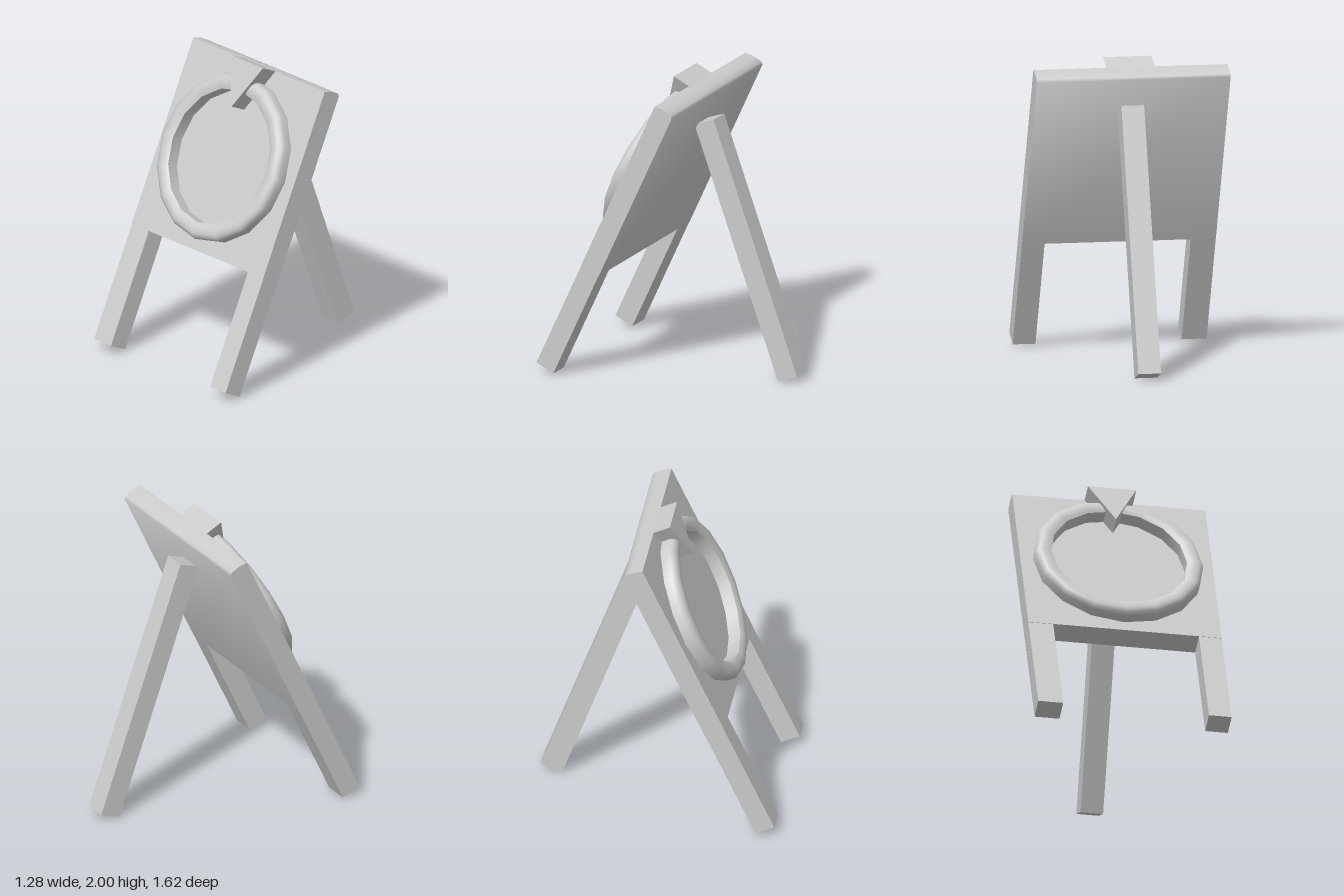
import * as THREE from 'three';
import { toCreasedNormals } from 'three/addons/utils/BufferGeometryUtils.js';

const TILT = 0.433;

export function createModel() {
  const model = new THREE.Group();
  const material = new THREE.MeshStandardMaterial({ color: 0xcccccc });

  const add = (parent, name, geometry) => {
    const mesh = new THREE.Mesh(geometry, material);
    mesh.name = name;
    parent.add(mesh);
    return mesh;
  };
  const shapeOf = (points) => new THREE.Shape(points.map(([x, y]) => new THREE.Vector2(x, y)));

  // Leaning front frame: its local origin is the lower front edge of the legs
  const frame = new THREE.Group();
  frame.name = 'leaningFrame';
  frame.position.set(0, 0.075, 0.81);
  frame.rotation.x = -TILT;
  model.add(frame);

  // Board: side profile (z, y) with a softly rounded top, swept across the width
  const profile = shapeOf([
    [0, 0.788], [0, 2.065], [-0.04, 2.074], [-0.08, 2.078],
    [-0.125, 2.075], [-0.14, 2.06], [-0.14, 0.788],
  ]);
  const board = new THREE.ExtrudeGeometry(profile, { depth: 1.28, bevelEnabled: false });
  board.rotateY(-Math.PI / 2).translate(0.64, 0, 0);
  add(frame, 'board', toCreasedNormals(board, 0.9));

  // Front legs, continuing the board's outer edges
  for (const [name, x0, x1] of [['frontLegRight', -0.64, -0.475], ['frontLegLeft', 0.49, 0.64]]) {
    const leg = add(frame, name, new THREE.BoxGeometry(x1 - x0, 0.8, 0.136));
    leg.position.set((x0 + x1) / 2, 0.4, -0.07);
  }

  // Raised ring with a rounded outer rim
  const ringProfile = [
    [0.45, -0.01], [0.555, -0.01], [0.56, 0.06], [0.55, 0.083], [0.53, 0.096],
    [0.505, 0.1], [0.475, 0.097], [0.45, 0.085], [0.45, -0.01],
  ].map(([r, h]) => new THREE.Vector2(r, h));
  const ring = new THREE.LatheGeometry(ringProfile, 16).rotateX(Math.PI / 2);
  add(frame, 'ring', toCreasedNormals(ring, 0.7)).position.set(0, 1.422, 0);

  // Triangular pointer at the top of the ring
  const triangle = shapeOf([[-0.16, 2.067], [0, 1.757], [0.16, 2.067]]);
  const pointer = new THREE.ExtrudeGeometry(triangle, { depth: 0.13, bevelEnabled: false });
  add(frame, 'pointer', pointer).position.z = -0.01;

  // Rear prop
  const prop = add(model, 'rearLeg', new THREE.BoxGeometry(0.15, 1.773, 0.149));
  prop.position.set(0.01, 0.863, -0.435);
  prop.rotation.x = 0.351;

  return model;
}
